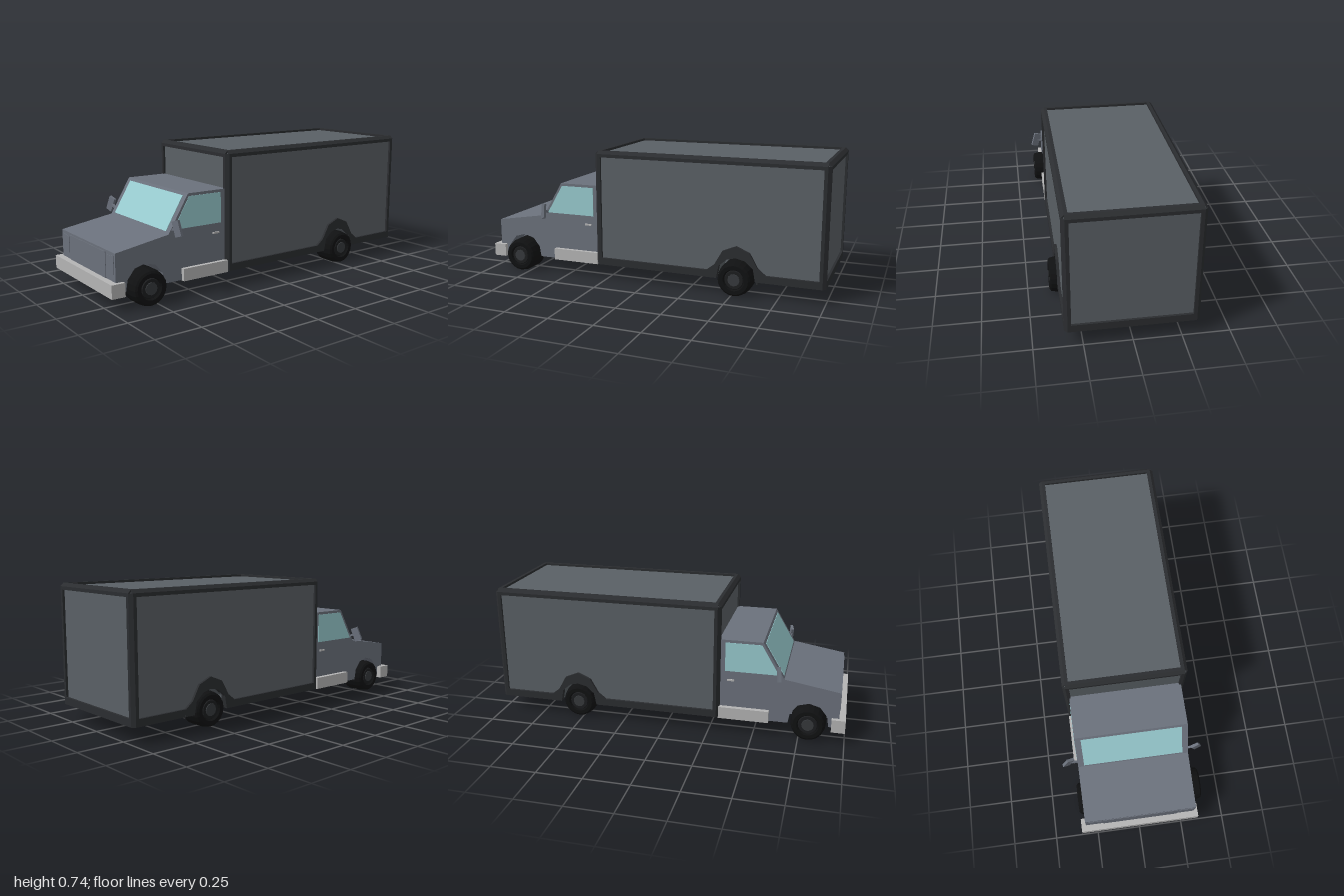
import * as THREE from 'three';

const mat = (color) => new THREE.MeshStandardMaterial({ color, flatShading: true });

export function createModel() {
  const root = new THREE.Group();
  root.name = 'boxTruck';
  const paint = mat(0x6b717c), panel = mat(0x5a6065), trim = mat(0x2b2d30), tyreMat = mat(0x101112);
  const rimMat = mat(0x1c1d1f), hubMat = mat(0x36393c), chrome = mat(0xb4b4b4), glass = mat(0x98cbcf);

  const add = (name, geo, m, parent = root) => {
    const mesh = new THREE.Mesh(geo, m);
    mesh.name = name;
    parent.add(mesh);
    return mesh;
  };
  const shapeOf = (pts) => new THREE.Shape(pts.map(([a, b]) => new THREE.Vector2(a, b)));
  const extrude = (pts, depth) => new THREE.ExtrudeGeometry(shapeOf(pts), { depth, bevelEnabled: false });
  // Side profile of (z, y) points, swept from x0 to x1
  const slab = (name, pts, x0, x1, m) =>
    add(name, extrude(pts, x1 - x0).rotateY(-Math.PI / 2).translate(x1, 0, 0), m);
  const block = (name, x0, x1, y0, y1, z0, z1, m) =>
    add(name, new THREE.BoxGeometry(x1 - x0, y1 - y0, z1 - z0)
      .translate((x0 + x1) / 2, (y0 + y1) / 2, (z0 + z1) / 2), m);
  // Body whose outer thirds are notched over the wheels
  const notchedBody = (name, profile, arch, x0, x1, m) => {
    slab(name + 'Middle', profile, -0.2, 0.2, m);
    slab(name + 'Right', [...profile, ...arch], x0, -0.2, m);
    slab(name + 'Left', [...profile, ...arch], 0.2, x1, m);
  };

  // Cargo box: recessed panels
  const X0 = -0.34, X1 = 0.343, Y0 = 0.09, Y1 = 0.748, Z0 = -1, Z1 = 0.31;
  const W = 0.035, C = 0.017, D = 0.013;
  const wheelZ = { front: 0.8, rear: -0.52 };
  const rearArch = [[-0.628, Y0], [-0.615, 0.16], [-0.57, 0.2], [-0.52, 0.212],
    [-0.47, 0.2], [-0.425, 0.16], [-0.412, Y0]];
  notchedBody('cargoPanel',
    [[Z1 - D, Y0 + 0.004], [Z1 - D, Y1 - D], [Z0 + D, Y1 - D], [Z0 + D, Y0 + 0.004]],
    rearArch.map(([z, y]) => [z, Math.max(y, Y0 + 0.004)]), X0 + D, X1 - D, panel);

  // Dark floor under the cargo box
  block('cargoFloor', -0.2, 0.2, Y0, Y0 + 0.015, Z0 + 0.01, Z1 - 0.01, trim);
  for (const [a, b] of [[X0 + 0.01, -0.2], [0.2, X1 - 0.01]]) {
    block('cargoFloorRear', a, b, Y0, Y0 + 0.015, Z0 + 0.01, -0.628, trim);
    block('cargoFloorFront', a, b, Y0, Y0 + 0.015, -0.412, Z1 - 0.01, trim);
  }

  // Cargo frame: chamfered beams on the edges
  const beam = (a, b, sa, sb, c, len) => extrude([[a - sa * c, b], [a - sa * W, b], [a - sa * W, b - sb * W],
    [a, b - sb * W], [a, b - sb * c]], len);
  for (const sx of [-1, 1]) {
    const x = sx > 0 ? X1 : X0;
    add('roofSideBeam', beam(x, Y1, sx, 1, C, Z1 - Z0 - 2 * C).translate(0, 0, Z0 + C), trim);
    for (const [z0, z1] of [[Z0 + C, -0.628], [-0.412, Z1 - C]]) {
      block('sillBeam', Math.min(x, x - sx * W), Math.max(x, x - sx * W), Y0, Y0 + 0.04, z0, z1, trim);
    }
    for (const sz of [-1, 1]) {
      const z = sz > 0 ? Z1 : Z0;
      add('cornerPost', beam(x, -z, sx, -sz, C, Y1 - Y0 - C).rotateX(-Math.PI / 2).translate(0, Y0, 0), trim);
    }
  }
  for (const sz of [-1, 1]) {
    const z = sz > 0 ? Z1 : Z0;
    add('roofEndBeam', beam(-z, Y1, -sz, 1, C, X1 - X0 - 2 * C).rotateY(Math.PI / 2).translate(X0 + C, 0, 0), trim);
    block('lowerEndBeam', X0 + C, X1 - C, Y0, Y0 + 0.04, Math.min(z, z - sz * W), Math.max(z, z - sz * W), trim);
  }

  // Rear wheel arch trim
  const archTrim = [[-0.35, Y0], [-0.35, 0.125], [-0.4, 0.165], [-0.445, 0.245], [-0.52, 0.277],
    [-0.595, 0.245], [-0.64, 0.165], [-0.69, 0.125], [-0.69, Y0], ...rearArch];
  slab('rearArchRight', archTrim, X0 - 0.001, X0 + 0.03, trim);
  slab('rearArchLeft', archTrim, X1 - 0.03, X1 + 0.001, trim);
  add('mudFlap', extrude([[-0.1, 0.1], [-0.02, 0.073], [0.18, 0.06], [0.33, 0.073], [0.33, 0.1]], 0.01)
    .translate(0, 0, -0.64), trim);

  // Cab
  const CX0 = -0.313, CX1 = 0.32;
  notchedBody('cab', [[Z1 - 0.01, Y0], [Z1 - 0.01, 0.545], [0.54, 0.545], [0.66, 0.345], [0.965, 0.295], [0.965, Y0]],
    [[0.91, Y0], [0.9, 0.15], [0.86, 0.2], [0.8, 0.217], [0.74, 0.2], [0.7, 0.15], [0.69, Y0]], CX0, CX1, paint);

  // Windows
  add('windshield', new THREE.BoxGeometry(0.565, 0.205, 0.006), glass).position.set(0.004, 0.4425, 0.6015);
  root.getObjectByName('windshield').rotation.x = -0.54;
  const sideWindow = [[0.632, 0.365], [0.534, 0.53], [0.335, 0.53], [0.335, 0.365]];
  slab('sideWindowRight', sideWindow, CX0 - 0.002, CX0 + 0.01, glass);
  slab('sideWindowLeft', sideWindow, CX1 - 0.01, CX1 + 0.002, glass);

  // Door handles
  block('doorHandleRight', CX0 - 0.008, CX0, 0.309, 0.318, 0.348, 0.388, chrome);
  block('doorHandleLeft', CX1, CX1 + 0.008, 0.309, 0.318, 0.348, 0.388, chrome);

  // Grille and headlight plates
  block('grille', -0.21, 0.217, 0.12, 0.283, 0.96, 0.968, paint);
  for (const s of [-1, 1]) {
    const px = (d) => 0.004 + s * d;
    add('headlight', extrude([[px(0.302), 0.185], [px(0.222), 0.182], [px(0.222), 0.271], [px(0.302), 0.28]], 0.008)
      .translate(0, 0, 0.96), paint);
  }

  // Bumper and running boards
  block('frontBumper', X0, X1, 0.073, 0.146, 0.925, 1, chrome);
  block('runningBoard', X0, X1, 0.088, 0.155, 0.305, 0.585, chrome);

  // Door mirrors
  for (const [s, x, y] of [[-1, -0.364, 0.391], [1, 0.366, 0.381]]) {
    const mirror = new THREE.Group();
    mirror.name = s < 0 ? 'mirrorRight' : 'mirrorLeft';
    mirror.position.set(x, y, 0.635);
    const head = add('mirrorHead', new THREE.BoxGeometry(0.043, 0.083, 0.016), paint, mirror);
    head.rotation.set(0, 0.27, s < 0 ? -0.4 : 0.3);
    const arm = add('mirrorArm', new THREE.BoxGeometry(0.05, 0.012, 0.012), paint, mirror);
    arm.position.set(-s * 0.032, -0.008, 0);
    arm.rotation.z = s * 0.35;
    root.add(mirror);
  }

  // Wheels: tyre turned about the axle, recessed rim and hub on the outside
  const R = 0.096;
  const tyreProfile = [[0, -0.068], [0.09, -0.068], [R, -0.055], [R, 0.03], [0.09, 0.06], [0.08, 0.068],
    [0.06, 0.068], [0.054, 0.056], [0, 0.056]].map(([r, a]) => new THREE.Vector2(r, a));
  for (const [axle, z] of Object.entries(wheelZ)) {
    for (const s of [-1, 1]) {
      const wheel = new THREE.Group();
      wheel.name = axle + (s < 0 ? 'WheelRight' : 'WheelLeft');
      add('tyre', new THREE.LatheGeometry(tyreProfile, 20), tyreMat, wheel);
      add('rim', new THREE.CylinderGeometry(0.05, 0.055, 0.01, 16), rimMat, wheel).position.y = 0.058;
      add('hub', new THREE.CylinderGeometry(0.033, 0.036, 0.012, 12), hubMat, wheel).position.y = 0.061;
      wheel.rotation.z = -s * Math.PI / 2;
      wheel.position.set(s < 0 ? -0.274 : 0.314, R + 0.004, z);
      root.add(wheel);
    }
  }
  return root;
}
